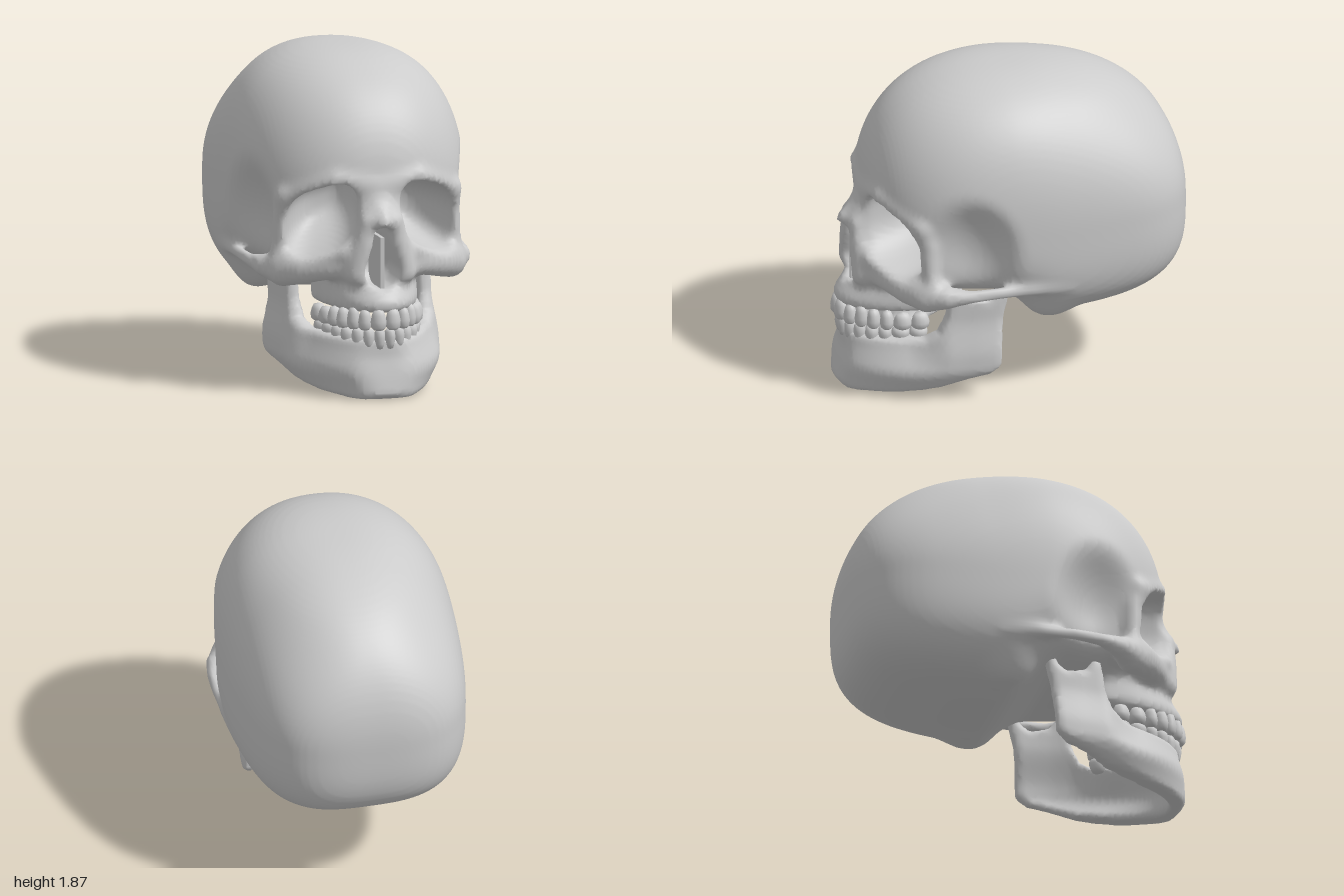
import * as THREE from 'three';

const bone = new THREE.MeshStandardMaterial({ color: 0xcccccc });
const { abs, max, min, hypot, pow } = Math;
const { smoothstep: step, lerp } = THREE.MathUtils;

// ---- distance helpers: negative inside, positive outside ----
const blend = (a, b, k) => min(a, b) - (max(k - abs(a - b), 0) ** 2) / (4 * k);
const carve = (a, b, k) => -blend(-a, b, k);

function ellipsoid(x, y, z, a, b, c) {
  const k = hypot(x / a, y / b, z / c);
  return (k * (k - 1)) / (hypot(x / (a * a), y / (b * b), z / (c * c)) + 1e-6);
}

// chain of tapered rods through [x, y, z, radius] points
function rod(x, y, z, pts) {
  let d = 9;
  for (let i = 0; i < pts.length - 1; i++) {
    const [ax, ay, az, ar] = pts[i], [bx, by, bz, br] = pts[i + 1];
    const ux = bx - ax, uy = by - ay, uz = bz - az;
    const t = max(0, min(1, ((x - ax) * ux + (y - ay) * uy + (z - az) * uz) / (ux * ux + uy * uy + uz * uz)));
    d = min(d, hypot(x - ax - t * ux, y - ay - t * uy, z - az - t * uz) - ar - t * (br - ar));
  }
  return d;
}

// signed distance to a superellipse
function superellipse(x, z, a, c, p) {
  const u = abs(x) / a, w = abs(z) / c;
  const q = pow(pow(u, p) + pow(w, p), 1 / p) + 1e-5;
  return (q - 1) / (hypot(pow(u, p - 1) / a, pow(w, p - 1) / c) * pow(q, 1 - p) + 1e-5);
}

function polygon(x, y, pts) {
  let d = 9, inside = false;
  pts.forEach(([ax, ay], i) => {
    const [bx, by] = pts[(i + 1) % pts.length];
    const ux = bx - ax, uy = by - ay;
    const t = max(0, min(1, ((x - ax) * ux + (y - ay) * uy) / (ux * ux + uy * uy)));
    d = min(d, hypot(x - ax - t * ux, y - ay - t * uy));
    if (ay > y !== by > y && x < ax + (ux * (y - ay)) / uy) inside = !inside;
  });
  return inside ? -d : d;
}

// smooth skin over the zero level of f, one vertex per crossed grid cell
function skin(f, lo, hi, h) {
  const n = lo.map((v, i) => Math.ceil((hi[i] - v) / h) + 1);
  const stride = [1, n[0], n[0] * n[1]];
  const val = new Float32Array(n[0] * n[1] * n[2]).fill(1);
  const cell = new Int32Array(val.length).fill(-1);
  const each = (from, fn) => {
    for (let k = from; k < n[2] - 1; k++)
      for (let j = from; j < n[1] - 1; j++)
        for (let i = from; i < n[0] - 1; i++) fn([i, j, k], i + j * stride[1] + k * stride[2]);
  };
  each(0, ([i, j, k], id) => { val[id] = f(lo[0] + i * h, lo[1] + j * h, lo[2] + k * h); });
  const pos = [], index = [];
  each(0, (g, id) => {
    const sum = [0, 0, 0];
    let count = 0;
    for (let c = 0; c < 8; c++) {
      const bits = [c & 1, (c >> 1) & 1, c >> 2];
      const a = id + bits[0] + bits[1] * stride[1] + bits[2] * stride[2];
      for (let d = 0; d < 3; d++) {
        if (bits[d]) continue;
        const va = val[a], vb = val[a + stride[d]];
        if (va < 0 === vb < 0) continue;
        for (let e = 0; e < 3; e++) sum[e] += bits[e] + (e === d ? va / (va - vb) : 0);
        count++;
      }
    }
    if (!count) return;
    cell[id] = pos.length / 3;
    for (let e = 0; e < 3; e++) pos.push(lo[e] + (g[e] + sum[e] / count) * h);
  });
  each(1, (g, id) => {
    for (let d = 0; d < 3; d++) {
      if (val[id] < 0 === val[id + stride[d]] < 0) continue;
      const u = stride[(d + 1) % 3], v = stride[(d + 2) % 3];
      const q = [cell[id], cell[id - u], cell[id - u - v], cell[id - v]];
      if (val[id] >= 0) q.reverse();
      index.push(q[0], q[1], q[2], q[0], q[2], q[3]);
    }
  });
  const geo = new THREE.BufferGeometry();
  geo.setAttribute('position', new THREE.Float32BufferAttribute(pos, 3));
  geo.setIndex(index);
  geo.computeVertexNormals();
  return geo;
}

// ---- braincase: superellipsoid, boxy at mid height, round towards the crown, shallower below the face ----
function braincase(x, y, z) {
  const dy = y - 1.05;
  const p = lerp(z > 0 ? 2.4 : 3.4, dy > 0 ? 2.2 : 3, step(abs(dy), 0.05, 0.65));
  const s = dy > 0 ? lerp(2.35, 2.55, step(z, -0.3, 0.1)) : lerp(3.6, 3, step(z, -0.3, 0.1));
  const depth = dy > 0 ? 0.82 : 0.588 - 0.168 * step(z, -0.15, 0.22);
  const width = 0.672 - 0.022 * step(-z, 0, 0.6);
  const r = pow(pow(x / width, p) + pow(abs(z) / (z > 0 ? 0.84 : 1), p), 1 / p);
  const q = pow(pow(r, s) + pow(abs(dy) / depth, s), 1 / s) + 1e-4;
  return hypot(x, dy, z) * (1 - 1 / q);
}

// rods of the face, left half
const faceRods = [
  [[0.6, 0.72, -0.22, 0.008], [0.632, 0.725, 0, 0.022], [0.63, 0.73, 0.2, 0.03], [0.615, 0.72, 0.36, 0.036],
    [0.565, 0.71, 0.48, 0.065], [0.485, 0.695, 0.57, 0.092], [0.4, 0.71, 0.66, 0.082], [0.28, 0.725, 0.745, 0.065],
    [0.19, 0.73, 0.8, 0.055]],                                                                              // cheek and arch
  [[0.52, 0.76, 0.56, 0.035], [0.51, 1, 0.565, 0.026], [0.49, 1.12, 0.61, 0.03]],                           // outer rim
  [[0.49, 1.12, 0.61, 0.03], [0.24, 1.22, 0.775, 0.045], [0, 1.18, 0.79, 0.05]],                            // brow
  [[0.46, 0.75, 0.615, 0.05], [0.2, 0.82, 0.81, 0.05]],                                                     // lower rim
  [[0.14, 0.7, 0.865, 0.05], [0.08, 1.0, 0.87, 0.048], [0.04, 1.1, 0.81, 0.04]],                            // beside nose
  [[0, 1.1, 0.815, 0.04], [0, 1.0, 0.92, 0.045]],                                                           // nasal bones
  [[0.13, 0.58, 0.4, 0.04], [0.12, 0.8, 0.33, 0.07]],                                                       // behind palate
];

function skull(sx, y, z) {
  const x = abs(sx);
  let d = braincase(x, y, z);
  // mastoid
  d = blend(d, ellipsoid(x - 0.44, y - 0.6, z + 0.15, 0.1, 0.125, 0.14), 0.08);
  // upper jaw
  const dz = z - 0.45;
  const wall = superellipse(x, dz, 0.29, dz > 0 ? 0.53 - 0.07 * step(y, 0.53, 0.66) : 0.07, 2.05);
  d = blend(d, carve(wall, 0.19 - abs(y - 0.68), 0.05), 0.07);
  // temple hollow
  d = carve(d, ellipsoid(x - 0.69, y - 0.92, z - 0.39, 0.19, 0.34, 0.25), 0.12);
  for (const r of faceRods) d = blend(d, rod(x, y, z, r), 0.06);
  // eye socket, narrowing inwards and tilted down at the outside
  const u = abs(x - 0.313 - 0.3 * (z - 0.72)) / 0.216;
  const v = abs(y - 1.0 + 0.36 * (x - 0.31)) / 0.19;
  const w = max(0.82 - z, 0) / 0.47;
  const q = pow(pow(u, 2.8) + pow(v, 2.8) + pow(w, 2.5), 1 / 2.7);
  d = carve(d, (q - 1) * 0.19, 0.03);
  // nose opening and palate
  d = carve(d, rod(x, y, min(z, 0.74), [[0, 0.725, 0.74, 0.105], [0, 0.94, 0.74, 0.034]]), 0.02);
  return carve(d, ellipsoid(x, y - 0.47, z - 0.6, 0.19, 0.1, 0.27), 0.03);
}

// ---- lower jaw: horseshoe wall trimmed by its side outline (z, y) ----
const jawOutline = [[0.99, 0.03], [0.965, 0.15], [0.945, 0.24], [0.95, 0.34], [0.55, 0.355], [0.48, 0.41], [0.44, 0.5],
  [0.41, 0.68], [0.36, 0.69], [0.31, 0.62], [0.2, 0.6], [0.15, 0.64], [0.13, 0.71], [0.06, 0.71], [0.115, 0.48],
  [0.135, 0.2], [0.2, 0.145], [0.3, 0.12], [0.46, 0.06], [0.68, 0.025], [0.95, 0]];

function lowerJaw(x, y, z) {
  const lean = step(y, 0.12, 0.34);
  const a = 0.46 - 0.04 * step(y, 0.25, 0.5) - 0.09 * step(-y, -0.2, 0) - 0.08 * lean * step(z, 0.42, 0.65);
  const wall = superellipse(x, max(z - 0.1, 0), a, 0.85 - 0.05 * lean, 1.97);
  const thick = 0.032 + 0.022 * step(z, 0.3, 0.6);
  return carve(abs(wall) - thick, -polygon(z, y, jawOutline), 0.035);
}

// ---- teeth: tapered crowns, biting edge at the bottom of the profile ----
const crown = new THREE.LatheGeometry(
  [[0, -0.5], [0.3, -0.48], [0.46, -0.36], [0.5, -0.1], [0.42, 0.2], [0.3, 0.42], [0, 0.5]].map(([x, y]) => new THREE.Vector2(x, y)), 12);

function toothRow(name, a, c, biteY, dir, widths, heights) {
  const row = new THREE.Group();
  row.name = name;
  const at = (t) => [a * Math.sin(t), 0.47 + c * Math.cos(t)];
  let t = 0, len = 0, target = 0;
  widths.forEach((w, i) => {
    target += w / 2;
    while (len < target && t < 1.56) {
      const [x0, z0] = at(t), [x1, z1] = at((t += 0.002));
      len += hypot(x1 - x0, z1 - z0);
    }
    target += w / 2;
    const [x, z] = at(t), [x2, z2] = at(t + 0.01);
    const turn = Math.atan2(z - z2, x2 - x);
    for (const side of [1, -1]) {
      const tooth = new THREE.Mesh(crown, bone);
      tooth.name = i < 2 ? 'incisor' : i < 3 ? 'canine' : 'molar';
      tooth.scale.set(w * 1.06, heights[i], i < 3 ? 0.075 : 0.09);
      tooth.position.set(side * x, biteY + (dir * heights[i]) / 2, z);
      tooth.rotation.set(0, side * turn, dir > 0 ? 0 : Math.PI);
      row.add(tooth);
    }
  });
  return row;
}

export function createModel() {
  const model = new THREE.Group();
  model.name = 'skull';
  const add = (name, geo) => {
    const mesh = new THREE.Mesh(geo, bone);
    mesh.name = name;
    model.add(mesh);
    return mesh;
  };
  add('cranium', skin(skull, [-0.726, 0.4, -1.06], [0.726, 1.94, 1.06], 0.022));
  add('lowerJaw', skin(lowerJaw, [-0.56, -0.05, 0], [0.56, 0.78, 1.06], 0.02));
  add('nasalSeptum', new THREE.BoxGeometry(0.022, 0.3, 0.24)).position.set(0, 0.76, 0.77);
  model.add(toothRow('upperTeeth', 0.28, 0.49, 0.395, 1,
    [0.085, 0.072, 0.072, 0.075, 0.075, 0.1, 0.1], [0.125, 0.12, 0.13, 0.12, 0.115, 0.1, 0.1]));
  model.add(toothRow('lowerTeeth', 0.265, 0.465, 0.4, -1,
    [0.058, 0.063, 0.07, 0.075, 0.075, 0.1, 0.1], [0.12, 0.12, 0.125, 0.11, 0.1, 0.09, 0.09]));
  return model;
}
